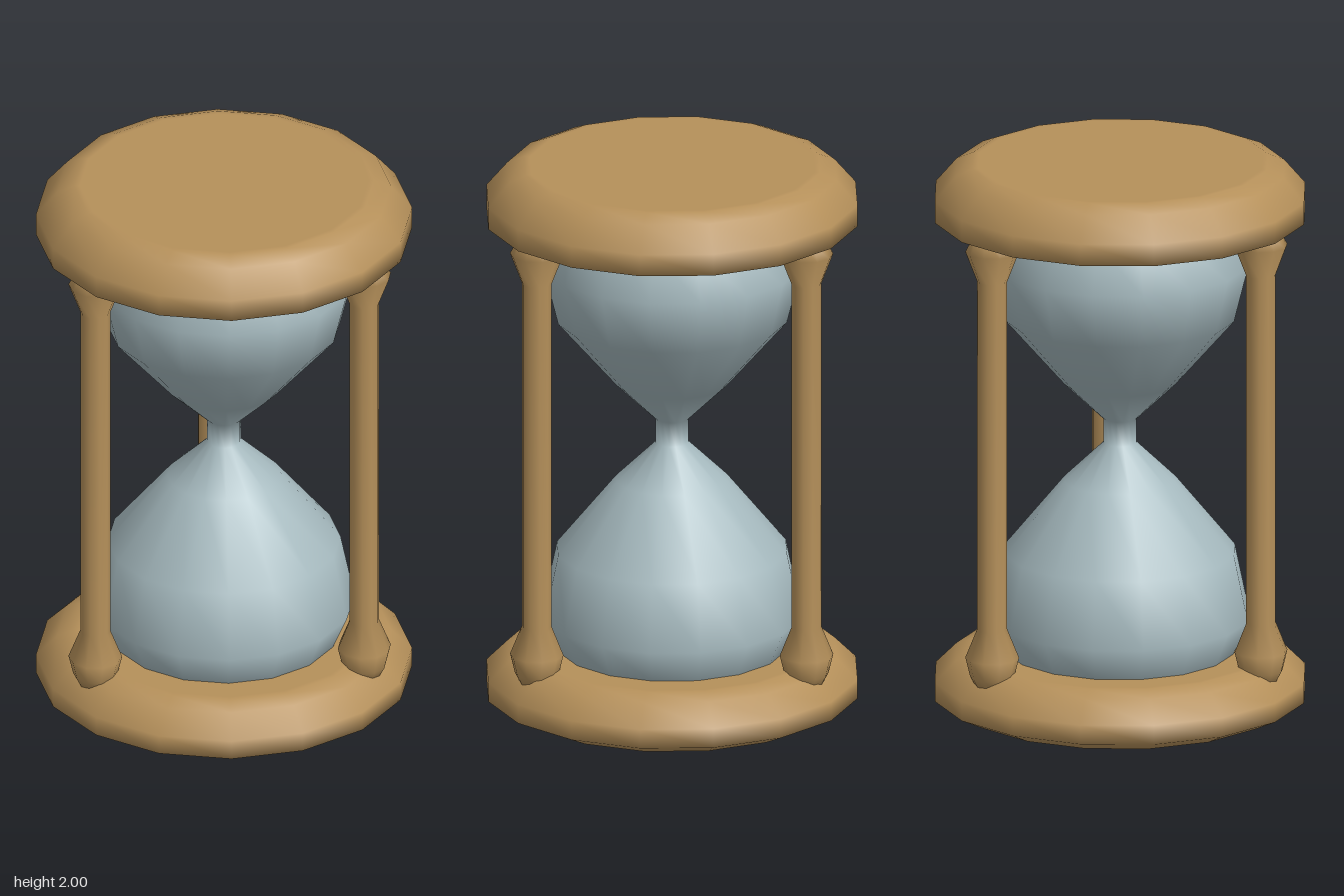
import * as THREE from 'three';

const wood = new THREE.MeshStandardMaterial({ color: 0xb5905a });
wood.name = 'wood';
const glass = new THREE.MeshStandardMaterial({ color: 0xa6babf });
glass.name = 'glass';

// Turned part from [radius, height] pairs listed bottom to top
function turned(name, profile, sides, material) {
  const points = profile.map(([r, y]) => new THREE.Vector2(r, y));
  const mesh = new THREE.Mesh(new THREE.LatheGeometry(points, sides), material);
  mesh.name = name;
  return mesh;
}

export function createModel() {
  const model = new THREE.Group();
  model.name = 'hourglass';

  // Bevelled end discs; the inner rings keep the caps flat
  model.add(turned('baseDisc', [
    [0, 0], [0.55, 0], [0.575, 0.003], [0.665, 0.045], [0.665, 0.115],
    [0.59, 0.19], [0.53, 0.21], [0.51, 0.21], [0, 0.21],
  ], 16, wood));
  model.add(turned('topDisc', [
    [0, 1.795], [0.57, 1.795], [0.59, 1.796], [0.665, 1.808], [0.665, 1.887],
    [0.59, 1.975], [0.53, 2], [0.51, 2], [0, 2],
  ], 16, wood));

  // Two glass bulbs joined by a narrow neck
  model.add(turned('glassBulbs', [
    [0, 0.17], [0.37, 0.17], [0.41, 0.21], [0.462, 0.33], [0.412, 0.57],
    [0.2, 0.83], [0.06, 0.965], [0.06, 1.055], [0.2, 1.19], [0.412, 1.435],
    [0.462, 1.635], [0.38, 1.8], [0.34, 1.83], [0, 1.83],
  ], 16, glass));

  // Three posts with swollen ends, evenly spaced around the bulbs
  const postProfile = [
    [0, 0.152], [0.055, 0.152], [0.078, 0.195], [0.095, 0.265], [0.053, 0.37],
    [0.053, 1.65], [0.095, 1.76], [0.07, 1.808], [0.05, 1.82], [0, 1.82],
  ];
  for (let i = 0; i < 3; i++) {
    const angle = THREE.MathUtils.degToRad(103 + i * 120);
    const post = turned('post' + (i + 1), postProfile, 10, wood);
    post.position.set(0.55 * Math.cos(angle), 0, 0.55 * Math.sin(angle));
    post.rotation.y = Math.PI / 2 - angle;
    model.add(post);
  }
  return model;
}
